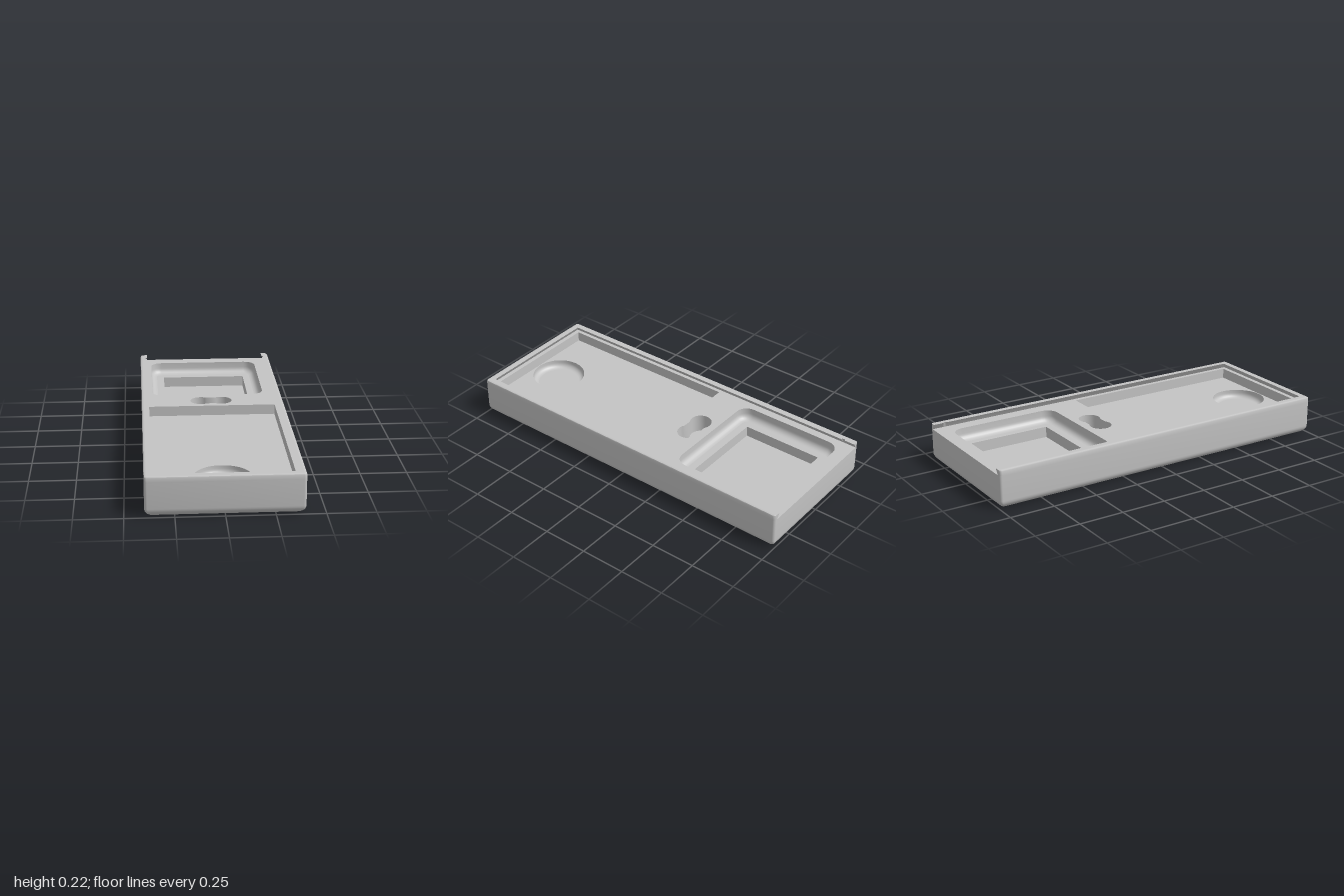
import * as THREE from 'three';
import { toCreasedNormals } from 'three/addons/utils/BufferGeometryUtils.js';

const HX = 0.4, HZ = 1, TOP = 0.215, DECK = 0.184, R = 0.015;

// Plan outlines are counter-clockwise Vector2 lists (x, -z).
const V = (x, w) => new THREE.Vector2(x, w);

function arc(cx, cw, rx, a0, a1, n, rw = rx) {
  return Array.from({ length: n + 1 }, (_, i) => {
    const a = a0 + (a1 - a0) * i / n;
    return V(cx + rx * Math.cos(a), cw + rw * Math.sin(a));
  });
}

function rect(x0, x1, z0, z1) {
  return [V(x0, -z1), V(x1, -z1), V(x1, -z0), V(x0, -z0)];
}

function roundedRect(x0, x1, z0, z1, r) {
  const q = Math.PI / 2;
  return [[x1 - r, r - z1, -1], [x1 - r, -z0 - r, 0], [x0 + r, -z0 - r, 1], [x0 + r, r - z1, 2]]
    .flatMap(([x, w, k]) => arc(x, w, r, k * q, (k + 1) * q, 6));
}

// Skin between successive rings; rising rings face outward, sinking rings face inward.
function loft(rings, closed = true) {
  const n = rings[0].pts.length, pos = [], index = [];
  for (const { pts, y } of rings) for (const p of pts) pos.push(p.x, y, -p.y);
  for (let j = 0; j < rings.length - 1; j++) {
    for (let i = 0; i < (closed ? n : n - 1); i++) {
      const a = j * n + i, b = j * n + (i + 1) % n;
      index.push(a, b, a + n, b, b + n, a + n);
    }
  }
  const g = new THREE.BufferGeometry();
  g.setAttribute('position', new THREE.Float32BufferAttribute(pos, 3));
  g.setIndex(index);
  // creasing merges points closer than 0.01, so it is done at a larger scale
  return toCreasedNormals(g.scale(100, 100, 100), 0.6).scale(0.01, 0.01, 0.01);
}

// Flat horizontal face with optional holes.
function plate(outlines, y, holes = [], down = false) {
  const shapes = outlines.map(o => new THREE.Shape(o));
  shapes[0].holes = holes.map(h => new THREE.Path(h));
  const g = new THREE.ShapeGeometry(shapes);
  g.rotateX(down ? Math.PI / 2 : -Math.PI / 2);
  return g.translate(0, y, 0);
}

// Wall rings for a pocket whose lower edge is filleted by f.
function pocketRings(outline, top, floor, f) {
  const rings = [{ pts: outline(0), y: top }];
  const n = f > 0 ? 6 : 0;
  for (let i = 0; i <= n; i++) {
    const a = n ? i / n * Math.PI / 2 : 0;
    rings.push({ pts: outline(f * (1 - Math.cos(a))), y: floor + f * (1 - Math.sin(a)) });
  }
  return rings;
}

export function createModel() {
  const grey = new THREE.MeshStandardMaterial({ color: 0xc4c4c4 });
  grey.name = 'grey';
  const model = new THREE.Group();
  model.name = 'slideLidCase';
  const add = (name, geo) => {
    const m = new THREE.Mesh(geo, grey);
    m.name = name;
    model.add(m);
  };
  const pocket = (name, outline, top, floor, f = 0, holes = []) => {
    add(name + 'Wall', loft(pocketRings(outline, top, floor, f)));
    add(name + 'Floor', plate([outline(f)], floor, holes));
  };

  // Outer shell with rounded bottom edge
  const shellOutline = d => roundedRect(d - HX, HX - d, d - HZ, HZ - d, R);
  const F = 0.045, shellRings = [];
  for (let i = 0; i <= 8; i++) {
    const a = i / 8 * Math.PI / 2;
    shellRings.push({ pts: shellOutline(F * (1 - Math.sin(a))), y: F * (1 - Math.cos(a)) });
  }
  shellRings.push({ pts: shellOutline(0), y: DECK });
  add('shell', loft(shellRings));

  // Underside with four clusters of square recesses
  const cells = [], cellDepth = 0.045;
  for (const x of [-0.28, 0.28]) for (const z of [-0.89, 0.89])
    for (const dx of [-0.028, 0.028]) for (const dz of [-0.028, 0.028])
      cells.push(rect(x + dx - 0.026, x + dx + 0.026, z + dz - 0.026, z + dz + 0.026));
  add('underside', plate([shellOutline(F)], 0, cells, true));
  add('footRecessCeilings', plate(cells, cellDepth, [], true));
  for (const c of cells) add('footRecessWall', loft([{ pts: c, y: cellDepth }, { pts: c, y: 0 }]));

  // Deck openings
  const frontTray = () => rect(-0.358, 0.355, -0.11, 0.955);
  const rearTray = d => roundedRect(-0.335 + d, 0.308 - d, -0.925 + d, -0.3 - d, 0.065 - d);
  const innerWell = () => rect(-0.258, 0.233, -0.843, -0.378);
  const thumbDip = d => arc(0, -0.8, 0.15 - d, 0, Math.PI * 2 * 47 / 48, 47);
  const waist = Math.PI - Math.asin(0.82);
  const doubleSlot = () => [
    ...arc(0.057, 0.2, 0.06, -waist, waist, 20),
    ...arc(-0.06, 0.2, 0.06, Math.PI - waist, Math.PI + waist, 20),
  ];
  add('deck', plate([shellOutline(0)], DECK, [frontTray(), rearTray(0), doubleSlot()]));

  // Pockets
  pocket('frontTray', frontTray, DECK, 0.127, 0, [thumbDip(0)]);
  pocket('thumbDip', thumbDip, 0.127, 0.08, 0.03);
  pocket('rearTray', rearTray, DECK, 0.116, 0.035, [innerWell()]);
  pocket('innerWell', innerWell, 0.116, 0.055);
  pocket('doubleSlot', doubleSlot, DECK, 0.08);

  // Undercut lid rail: profile of [inset from outer face, height], open at the back
  const profile = [[0, DECK], [0, TOP - 0.008], [0.0024, TOP - 0.0024],
    [0.008, TOP], [R, TOP], [0.04, TOP], [0.02, DECK]];
  const notch = [[-0.917, 0], [-0.921, 0.007], [-0.93, 0.011], [-0.939, 0.007], [-0.943, 0]];
  const railPath = d => {
    const x = HX - d, r = Math.max(R - d, 0), cx = x - r;
    const cw = Math.max(R, d) - HZ;
    // small detent notches in the lip near the back
    const side = notch.map(([z, k]) => V(x + (d > 0.03 ? k : 0), -z));
    const right = [
      ...arc(cx, cw, r, -Math.PI / 2, 0, 6),
      ...side,
      ...arc(cx, HZ - R, r, 0, Math.PI / 2, 6, R),
    ];
    const left = right.map(p => V(-p.x, p.y)).reverse();
    return [...left, ...right];
  };
  add('lidRail', loft(profile.map(([d, y]) => ({ pts: railPath(d), y })), false));

  // Flat rail ends
  for (const s of [-1, 1]) {
    const corners = [[R, DECK], [R, TOP], [0.04, TOP], [0.02, DECK]];
    const cap = new THREE.ShapeGeometry(new THREE.Shape(corners.map(([d, y]) => V(s * (HX - d), y))));
    add('railEnd', cap.rotateY(Math.PI).translate(0, 0, -HZ));
  }
  return model;
}
